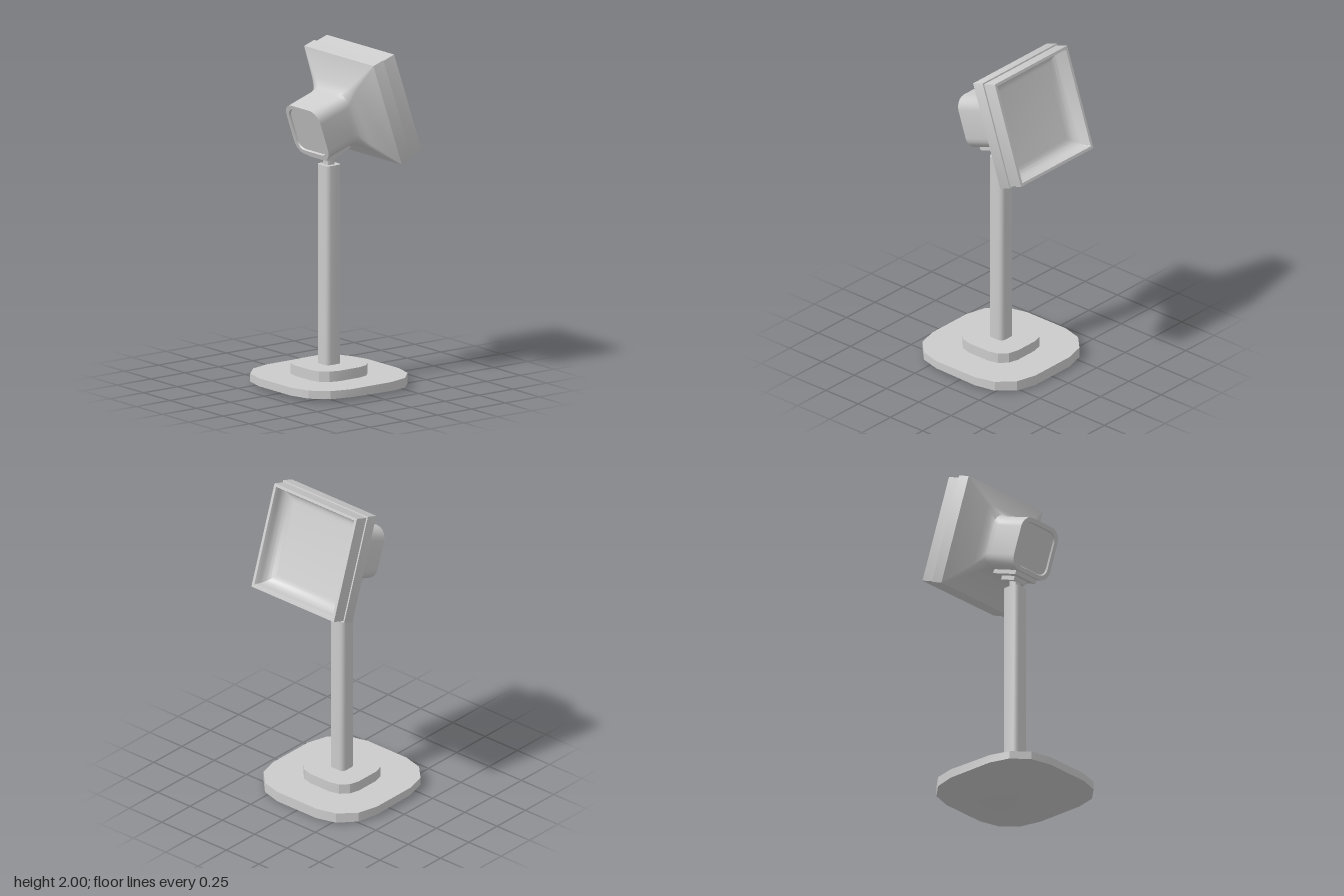
import * as THREE from 'three';
import { toCreasedNormals } from 'three/addons/utils/BufferGeometryUtils.js';

const material = new THREE.MeshStandardMaterial({ color: 0xcccccc });

// Rounded square outline, counter-clockwise seen from above
function outline(half, radius, segs) {
  const pts = [], c = half - radius;
  for (let q = 0; q < 4; q++) {
    const sx = q === 0 || q === 3 ? 1 : -1, sz = q < 2 ? -1 : 1;
    for (let k = 0; k <= segs; k++) {
      const t = (q + k / segs) * Math.PI / 2;
      pts.push([sx * c + radius * Math.cos(t), sz * c - radius * Math.sin(t)]);
    }
  }
  return pts;
}

// Skin through [y, half width, corner radius] sections stacked along y
function loft(name, sections, segs, crease, bend) {
  const pos = [], idx = [], n = 4 * (segs + 1);
  for (const [y, half, r] of sections) {
    for (const [x, z] of outline(half, r, segs)) pos.push(x, y + (bend ? bend(x, y) : 0), z);
  }
  for (let i = 0; i < sections.length - 1; i++) {
    for (let j = 0; j < n; j++) {
      const a = i * n + j, b = i * n + (j + 1) % n;
      if (sections[i][1] > 0) idx.push(a, b, b + n);
      if (sections[i + 1][1] > 0) idx.push(a, b + n, a + n);
      else if (sections[i][1] > 0) continue;
    }
  }
  const g = new THREE.BufferGeometry();
  g.setAttribute('position', new THREE.Float32BufferAttribute(pos, 3));
  g.setIndex(idx);
  const mesh = new THREE.Mesh(toCreasedNormals(g, crease), material);
  mesh.name = name;
  return mesh;
}

// Solid prism with a rounded square section
const prism = (name, y0, y1, half, r, segs, crease) =>
  loft(name, [[y0, 0, 0], [y0, half, r], [y1, half, r], [y1, 0, 0]], segs, crease);

export function createModel() {
  const model = new THREE.Group();
  model.name = 'standingLamp';

  // Stand: foot with slightly dished underside, plinth, post and pin
  const stand = new THREE.Group();
  stand.name = 'stand';
  stand.position.x = -0.022;
  const lift = (x, y) => (y > 0.01 && y < 0.05 ? -0.015 * Math.max(0, x / 0.4) : 0);
  stand.add(
    loft('foot', [[0, 0, 0], [0, 0.3, 0.19], [0.02, 0.4, 0.25], [0.068, 0.4, 0.25], [0.068, 0, 0]], 3, 0.4, lift),
    prism('plinth', 0.06, 0.13, 0.196, 0.122, 3, 0.4),
    prism('post', 0.12, 1.32, 0.054, 0.028, 3, 0.7),
    prism('pin', 1.3, 1.4, 0.026, 0.008, 2, 0.4)
  );
  model.add(stand);

  // Head: its local y runs from the back to the open face
  const head = new THREE.Group();
  head.name = 'head';
  head.position.set(0.3125, 1.6975, 0);
  head.rotation.z = -THREE.MathUtils.degToRad(90 - 18.7);

  // Rear housing: recessed back panel, neck, flare and outer frame
  head.add(loft('housing', [
    [-0.512, 0, 0], [-0.512, 0.13, 0.05], [-0.522, 0.135, 0.055], [-0.522, 0.161, 0.075],
    [-0.33, 0.161, 0.075], [-0.3, 0.166, 0.07], [-0.277, 0.18, 0.05], [-0.255, 0.202, 0.03],
    [-0.166, 0.328, 0.002], [-0.088, 0.328, 0.002], [-0.088, 0.3, 0.002],
  ], 5, 0.5));

  // Front bezel with thin rim and a coved bowl
  const bowl = [];
  for (let i = 0; i <= 6; i++) {
    const t = i / 6 * Math.PI / 2;
    bowl.push([-0.02 - 0.08 * Math.sin(t), 0.225 + 0.07 * Math.cos(t), 0.002]);
  }
  head.add(loft('bezel', [
    [-0.09, 0.319, 0.002], [0, 0.319, 0.002], [0, 0.302, 0.002], ...bowl, [-0.1, 0, 0],
  ], 3, 0.5));

  // Stepped mounting plates under the neck
  [[0.09, 0.03, 0.17], [0.052, 0.03, 0.195]].forEach(([half, thick, x]) => {
    const plate = new THREE.Mesh(new THREE.BoxGeometry(thick, half * 2, half * 2), material);
    plate.name = 'mountPlate';
    plate.position.set(x, -0.41, 0);
    head.add(plate);
  });
  model.add(head);
  return model;
}
